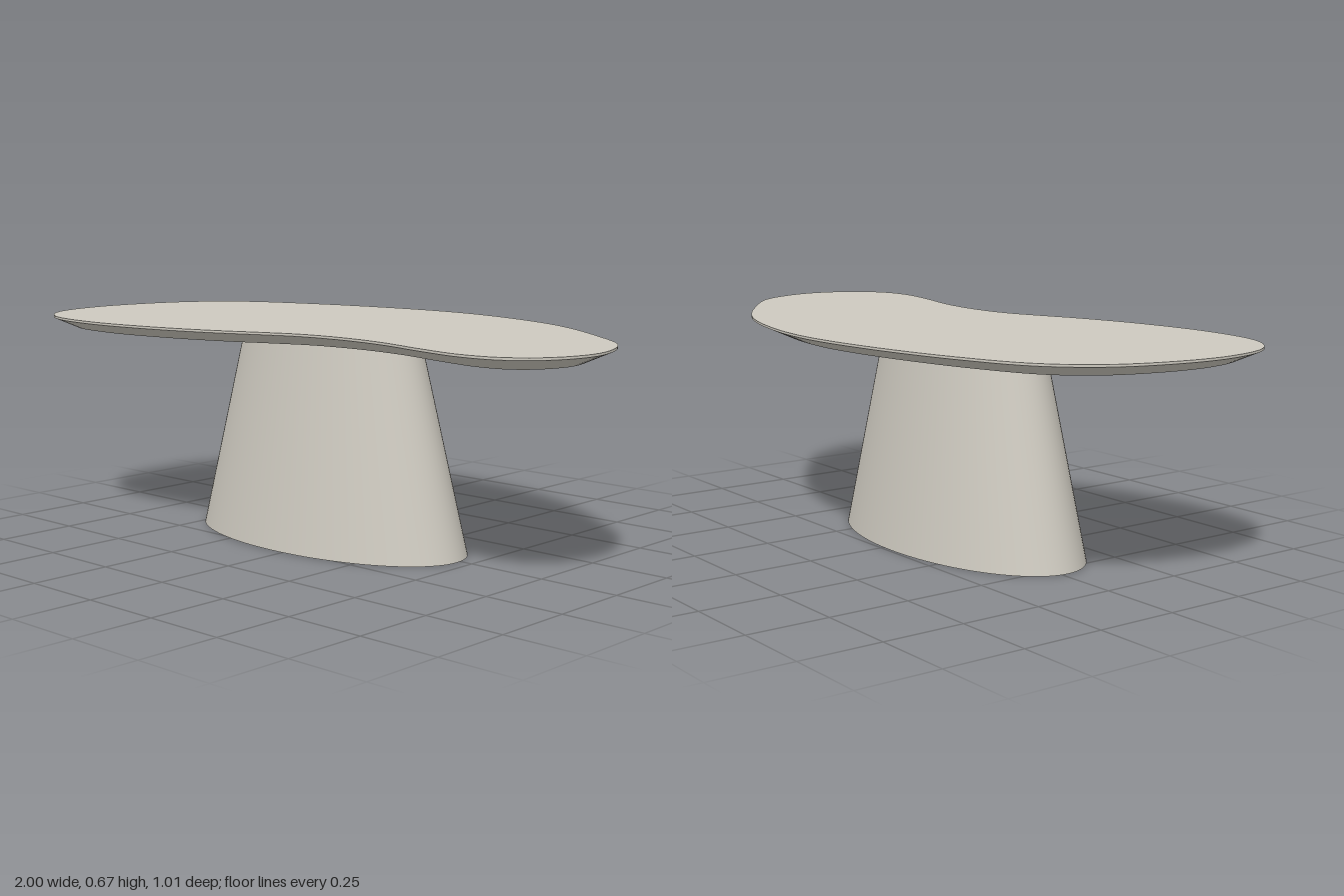
import * as THREE from 'three';

const TOP = 0.667, LIP = 0.66, UNDER = 0.627, INSET = 0.075, N = 160;

// Kidney-shaped outline as [x, z], starting at the back edge
const OUTLINE = [
  [0, -0.51], [0.25, -0.478], [0.5, -0.395], [0.75, -0.237], [0.93, -0.08],
  [1, 0.12], [0.96, 0.27], [0.87, 0.353], [0.75, 0.375], [0.6, 0.352],
  [0.42, 0.31], [0.26, 0.298], [0.11, 0.315], [0, 0.355], [-0.15, 0.416],
  [-0.36, 0.474], [-0.62, 0.503], [-0.83, 0.468], [-0.95, 0.365], [-1, 0.19],
  [-0.985, 0], [-0.92, -0.18], [-0.8, -0.31], [-0.6, -0.4], [-0.3, -0.478],
];

// Smooth closed strip between a lower and an upper ring
function band(lower, yLow, upper, yUp) {
  const pos = [], index = [];
  for (let i = 0; i < N; i++) {
    pos.push(lower[i].x, yLow, lower[i].y, upper[i].x, yUp, upper[i].y);
    const a = 2 * i, b = 2 * ((i + 1) % N);
    index.push(a, a + 1, b, b, a + 1, b + 1);
  }
  const g = new THREE.BufferGeometry();
  g.setAttribute('position', new THREE.Float32BufferAttribute(pos, 3));
  g.setIndex(index);
  g.computeVertexNormals();
  return g;
}

// Flat face filling a ring, facing up (1) or down (-1)
function cap(ring, y, facing) {
  const shape = new THREE.Shape(ring.map(p => new THREE.Vector2(p.x, -facing * p.y)));
  return new THREE.ShapeGeometry(shape).rotateX(-facing * Math.PI / 2).translate(0, y, 0);
}

export function createModel() {
  const model = new THREE.Group();
  model.name = 'coffeeTable';
  const stone = new THREE.MeshStandardMaterial({ color: 0xcdc9bf });
  stone.name = 'warm grey';

  const add = (parent, name, geometry) => {
    const mesh = new THREE.Mesh(geometry, stone);
    mesh.name = name;
    parent.add(mesh);
  };

  // Outer rim and the smaller underside outline
  const curve = new THREE.CatmullRomCurve3(OUTLINE.map(([x, z]) => new THREE.Vector3(x, 0, z)), true);
  const rim = [], under = [];
  for (let i = 0; i < N; i++) {
    const p = curve.getPointAt(i / N), t = curve.getTangentAt(i / N);
    rim.push(new THREE.Vector2(p.x, p.z));
    under.push(new THREE.Vector2(p.x - t.z * INSET, p.z + t.x * INSET));
  }

  // Tabletop: flat top, thin lip, undercut bevel, flat underside
  const tabletop = new THREE.Group();
  tabletop.name = 'tabletop';
  add(tabletop, 'topSurface', cap(rim, TOP, 1));
  add(tabletop, 'lip', band(rim, LIP, rim, TOP));
  add(tabletop, 'bevel', band(under, UNDER, rim, LIP));
  add(tabletop, 'underside', cap(under, UNDER, -1));
  model.add(tabletop);

  // Tapered oval pedestal
  const pedestal = new THREE.CylinderGeometry(0.665, 1, UNDER, 96);
  pedestal.scale(0.507, 1, 0.261).translate(-0.048, UNDER / 2, 0.02);
  add(model, 'pedestal', pedestal);

  return model;
}
